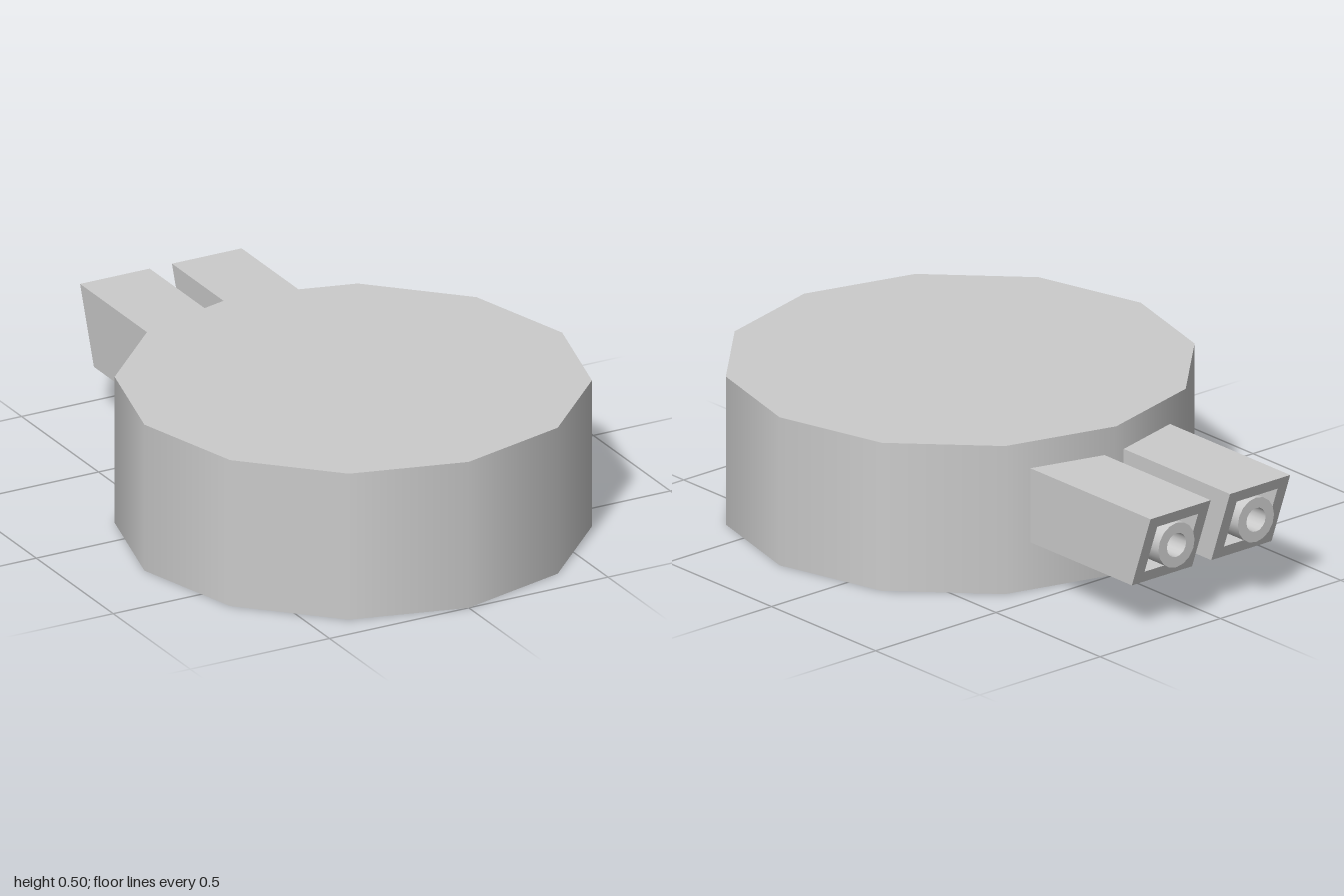
import * as THREE from 'three';
import { toCreasedNormals } from 'three/addons/utils/BufferGeometryUtils.js';

const material = new THREE.MeshStandardMaterial({ color: 0xcccccc, side: THREE.DoubleSide });

function part(name, geometry, parent) {
  const mesh = new THREE.Mesh(geometry, material);
  mesh.name = name;
  parent.add(mesh);
  return mesh;
}

function square(half, Type = THREE.Shape) {
  return new Type([
    new THREE.Vector2(-half, -half), new THREE.Vector2(half, -half),
    new THREE.Vector2(half, half), new THREE.Vector2(-half, half),
  ]);
}

// Square sleeve along z whose rear end is cut at a slant
function sleeveGeometry(half, holeHalf, rootZ, tipZ, slope) {
  const shape = square(half);
  shape.holes.push(square(holeHalf, THREE.Path));
  const geometry = new THREE.ExtrudeGeometry(shape, { depth: 1, bevelEnabled: false });
  const pos = geometry.attributes.position;
  for (let i = 0; i < pos.count; i++) {
    const cut = tipZ + (half - pos.getY(i)) * slope;
    pos.setZ(i, pos.getZ(i) > 0.5 ? rootZ : cut);
  }
  geometry.computeVertexNormals();
  return geometry;
}

export function createModel() {
  const model = new THREE.Group();
  model.name = 'drumWithTwinNozzles';

  // Twelve-sided drum, closed on top and open underneath
  const drum = new THREE.Group();
  drum.name = 'drum';
  drum.position.z = 0.25;
  model.add(drum);
  part('drumWall', new THREE.CylinderGeometry(0.75, 0.75, 0.5, 12, 1, true), drum).position.y = 0.25;
  const lid = part('drumLid', new THREE.CircleGeometry(0.75, 12).rotateX(-Math.PI / 2), drum);
  lid.position.y = 0.5;

  // Twin square housings, each with a round nozzle in its recess
  const rootZ = -0.42, floorZ = -0.78, nozzleZ = -0.98;
  const holeHalf = 0.085;
  const sleeve = sleeveGeometry(0.125, holeHalf, rootZ, -1, 0.36);
  const plate = new THREE.PlaneGeometry(holeHalf * 2, holeHalf * 2);
  const profile = [
    [0.075, -floorZ], [0.075, -nozzleZ], [0.04, -nozzleZ], [0.04, -floorZ],
  ].map(([r, y]) => new THREE.Vector2(r, y));
  const nozzle = toCreasedNormals(
    new THREE.LatheGeometry(profile, 16).rotateX(-Math.PI / 2), 0.6);

  for (const [side, sign] of [['left', 1], ['right', -1]]) {
    const unit = new THREE.Group();
    unit.name = side + 'NozzleUnit';
    unit.position.set(sign * 0.165, 0.285, 0);
    model.add(unit);
    part(side + 'Housing', sleeve, unit);
    part(side + 'HousingEnd', plate, unit).position.z = rootZ;
    part(side + 'RecessFloor', plate, unit).position.z = floorZ;
    part(side + 'Nozzle', nozzle, unit);
  }
  return model;
}
